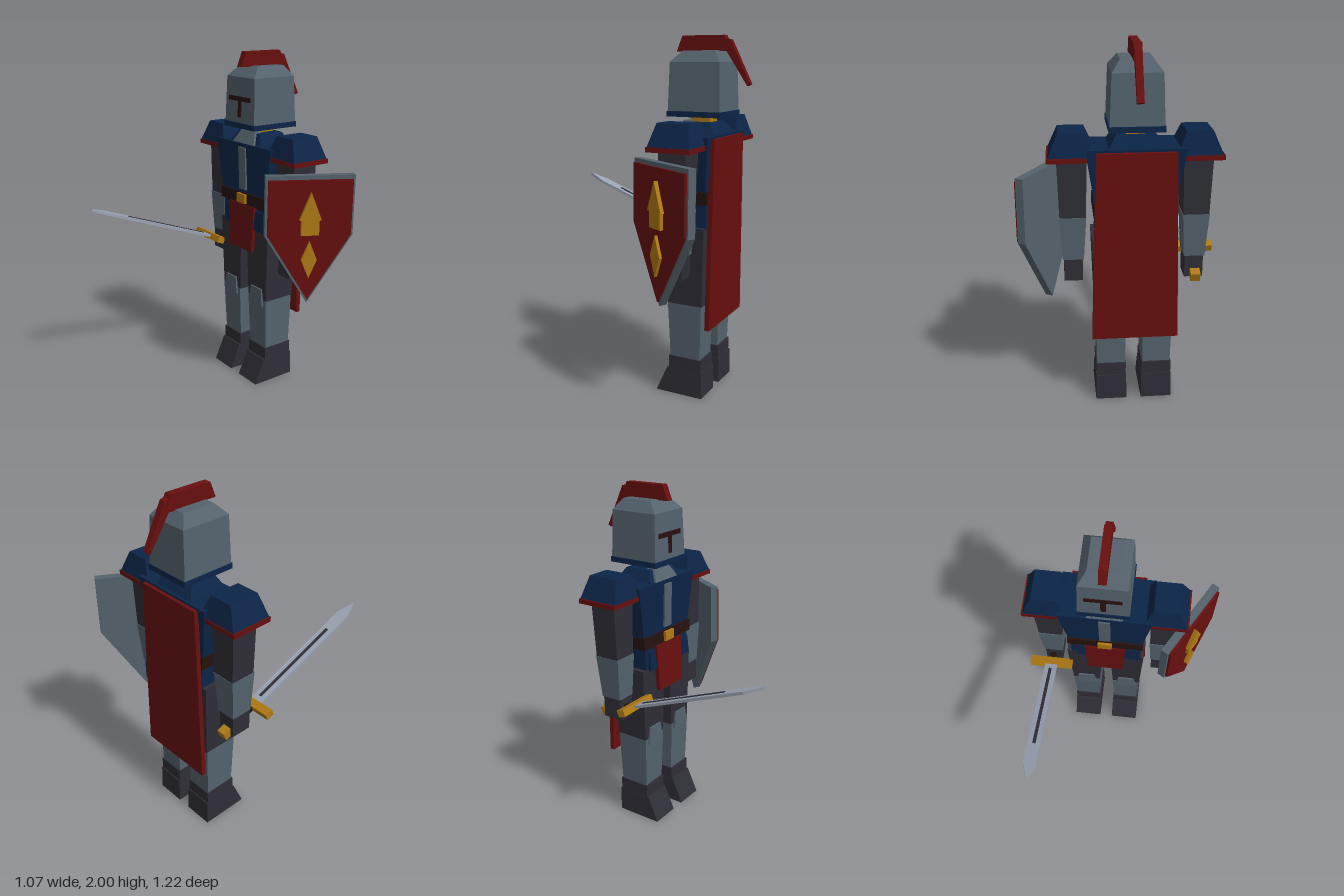
import * as THREE from 'three';

const paint = (name, color, extra = {}) => {
  const m = new THREE.MeshStandardMaterial({ color, ...extra });
  m.name = name;
  return m;
};

export function createModel() {
  const steel = paint('steel', 0x55636d);
  const blue = paint('navy blue', 0x0c2548);
  const red = paint('dark red', 0x680f0f);
  const cloth = paint('dark cloth', 0x2f2e37);
  const gold = paint('gold', 0xb07a14);
  const leather = paint('leather', 0x25130f);
  const slit = paint('visor black', 0x2a0e11);
  const bladeSteel = paint('blade steel', 0x9aa3b2);

  const model = new THREE.Group();
  model.name = 'knight';
  const body = new THREE.Group();
  body.name = 'body';
  body.position.x = -0.083;
  model.add(body);

  // Tapered block; bottom and top are [x0, x1, z0, z1]
  function block(parent, name, mat, y0, y1, bottom, top = bottom) {
    const g = new THREE.BoxGeometry(1, 1, 1);
    const p = g.attributes.position;
    for (let i = 0; i < p.count; i++) {
      const up = p.getY(i) > 0;
      const r = up ? top : bottom;
      p.setXYZ(i, r[p.getX(i) > 0 ? 1 : 0], up ? y1 : y0, r[p.getZ(i) > 0 ? 3 : 2]);
    }
    g.computeVertexNormals();
    const mesh = new THREE.Mesh(g, mat);
    mesh.name = name;
    parent.add(mesh);
    return mesh;
  }

  // Flat outline extruded along local z
  function plate(parent, name, mat, points, depth, z = 0) {
    const shape = new THREE.Shape(points.map(([x, y]) => new THREE.Vector2(x, y)));
    const mesh = new THREE.Mesh(
      new THREE.ExtrudeGeometry(shape, { depth, bevelEnabled: false }), mat);
    mesh.name = name;
    mesh.position.z = z;
    parent.add(mesh);
    return mesh;
  }

  // Helmet
  const helmet = new THREE.Group();
  helmet.name = 'helmet';
  body.add(helmet);
  block(helmet, 'helmetRim', blue, 1.57, 1.6, [-0.142, 0.142, -0.495, -0.182]);
  block(helmet, 'helmetShell', steel, 1.6, 1.86,
    [-0.137, 0.137, -0.49, -0.187], [-0.127, 0.127, -0.48, -0.192]);
  block(helmet, 'helmetCrown', steel, 1.86, 1.92,
    [-0.127, 0.127, -0.48, -0.192], [-0.083, 0.083, -0.437, -0.25]);
  block(helmet, 'visorSlit', slit, 1.725, 1.751, [-0.098, 0.098, -0.2, -0.184]);
  block(helmet, 'visorBreath', slit, 1.632, 1.725, [-0.014, 0.014, -0.2, -0.184]);
  block(helmet, 'crest', red, 1.916, 2,
    [-0.021, 0.021, -0.502, -0.182], [-0.021, 0.021, -0.46, -0.215]);
  const tail = plate(helmet, 'crestTail', red,
    [[-0.46, 1.985], [-0.495, 1.975], [-0.61, 1.745], [-0.594, 1.735], [-0.47, 1.92]], 0.036);
  tail.rotation.y = -Math.PI / 2;
  tail.position.x = 0.018;

  // Neck and collar
  block(body, 'neck', gold, 1.52, 1.575, [-0.048, 0.048, -0.4, -0.285]);
  block(body, 'collar', blue, 1.475, 1.54,
    [-0.142, 0.142, -0.46, -0.225], [-0.1, 0.1, -0.42, -0.26]);
  block(body, 'gorget', steel, 1.475, 1.548,
    [-0.1, 0.1, -0.3, -0.212], [-0.065, 0.065, -0.3, -0.25]);

  // Torso
  block(body, 'chest', blue, 1.18, 1.478,
    [-0.212, 0.212, -0.45, -0.225], [-0.257, 0.257, -0.476, -0.21]);
  block(body, 'chestStripe', steel, 1.2, 1.455,
    [-0.032, 0.032, -0.3, -0.213], [-0.032, 0.032, -0.3, -0.202]);
  block(body, 'belt', leather, 1.112, 1.182, [-0.218, 0.218, -0.46, -0.215]);
  block(body, 'buckle', gold, 1.12, 1.175, [-0.04, 0.04, -0.3, -0.2]);
  block(body, 'hips', blue, 0.975, 1.115, [-0.2, 0.2, -0.45, -0.228]);
  block(body, 'tabard', red, 0.835, 1.112,
    [-0.106, 0.106, -0.225, -0.2], [-0.118, 0.118, -0.23, -0.208]);
  block(body, 'cape', red, 0.42, 1.465,
    [-0.233, 0.233, -0.495, -0.468], [-0.205, 0.205, -0.495, -0.468]);

  for (const s of [-1, 1]) {
    const side = s > 0 ? 'left' : 'right';

    // Leg
    const leg = new THREE.Group();
    leg.name = side + 'Leg';
    leg.position.x = s * 0.127;
    body.add(leg);
    block(leg, 'tasset', blue, 0.975, 1.09,
      [-0.045, 0.08, -0.3, -0.212], [-0.04, 0.07, -0.3, -0.218]).scale.x = 1;
    block(leg, 'thigh', cloth, 0.54, 0.985,
      [-0.085, 0.085, -0.44, -0.236], [-0.1, 0.1, -0.45, -0.226]);
    block(leg, 'greave', steel, 0.225, 0.54,
      [-0.077, 0.077, -0.43, -0.25], [-0.084, 0.084, -0.436, -0.234]);
    block(leg, 'kneeGuard', steel, 0.505, 0.61,
      [-0.064, 0.064, -0.3, -0.222], [-0.049, 0.049, -0.3, -0.225]);
    block(leg, 'ankle', cloth, 0.15, 0.225, [-0.082, 0.082, -0.438, -0.242]);
    block(leg, 'boot', cloth, 0, 0.15,
      [-0.086, 0.086, -0.448, -0.167], [-0.084, 0.084, -0.444, -0.232]);

    // Arm
    const arm = new THREE.Group();
    arm.name = side + 'Arm';
    arm.position.x = s * 0.325;
    body.add(arm);
    block(arm, 'upperArm', cloth, 1.08, 1.5,
      [-0.068, 0.068, -0.415, -0.27], [-0.08, 0.08, -0.424, -0.264]);
    block(arm, 'forearm', steel, 0.855, 1.1,
      [-0.056, 0.056, -0.4, -0.275], [-0.071, 0.071, -0.418, -0.264]);
    block(arm, 'hand', cloth, 0.73, 0.855, [-0.05, 0.05, -0.395, -0.275]);
    block(arm, 'shoulderTrim', red, 1.41, 1.436, [-0.128, 0.128, -0.464, -0.219]);
    block(arm, 'shoulderPad', blue, 1.436, 1.556,
      [-0.12, 0.12, -0.46, -0.222], [-0.068, 0.068, -0.43, -0.252]);
  }

  // Sword, built along its own +z and tilted upwards
  const sword = new THREE.Group();
  sword.name = 'sword';
  sword.position.set(-0.414, 0.825, -0.205);
  sword.rotation.x = -0.36;
  model.add(sword);
  const blade = plate(sword, 'blade', bladeSteel,
    [[-0.037, 0], [0.037, 0], [0.037, -0.765], [0, -0.872], [-0.037, -0.765]].reverse(), 0.016);
  blade.rotation.x = -Math.PI / 2;
  blade.position.y = -0.008;
  block(sword, 'fuller', cloth, -0.011, 0.011, [-0.009, 0.009, 0.06, 0.63]);
  block(sword, 'guard', gold, -0.02, 0.02, [-0.127, 0.127, -0.024, 0.024]);
  block(sword, 'grip', leather, -0.017, 0.017, [-0.017, 0.017, -0.22, 0]);
  block(sword, 'pommel', gold, -0.025, 0.025, [-0.026, 0.026, -0.245, -0.195]);

  // Shield, turned outwards on the left arm
  const shield = new THREE.Group();
  shield.name = 'shield';
  shield.position.set(0.384, 0, -0.325);
  shield.rotation.y = Math.PI / 3;
  model.add(shield);
  const outline = (w, top, mid, tip) => [[-w, top], [-w, mid], [0, tip], [w, mid], [w, top]];
  plate(shield, 'shieldBack', steel, outline(0.25, 1.365, 1.02, 0.613), 0.044, -0.029);
  plate(shield, 'shieldFace', red, outline(0.237, 1.342, 1.025, 0.637), 0.014, 0.015);
  plate(shield, 'emblemPoint', gold, [[-0.063, 1.118], [0.063, 1.118], [0, 1.277]], 0.024, 0.028);
  plate(shield, 'emblemBase', gold,
    [[-0.051, 1.03], [0.051, 1.03], [0.051, 1.118], [-0.051, 1.118]], 0.02, 0.028);
  plate(shield, 'emblemDiamond', gold,
    [[0, 0.775], [0.045, 0.885], [0, 0.995], [-0.045, 0.885]], 0.018, 0.028);

  return model;
}
